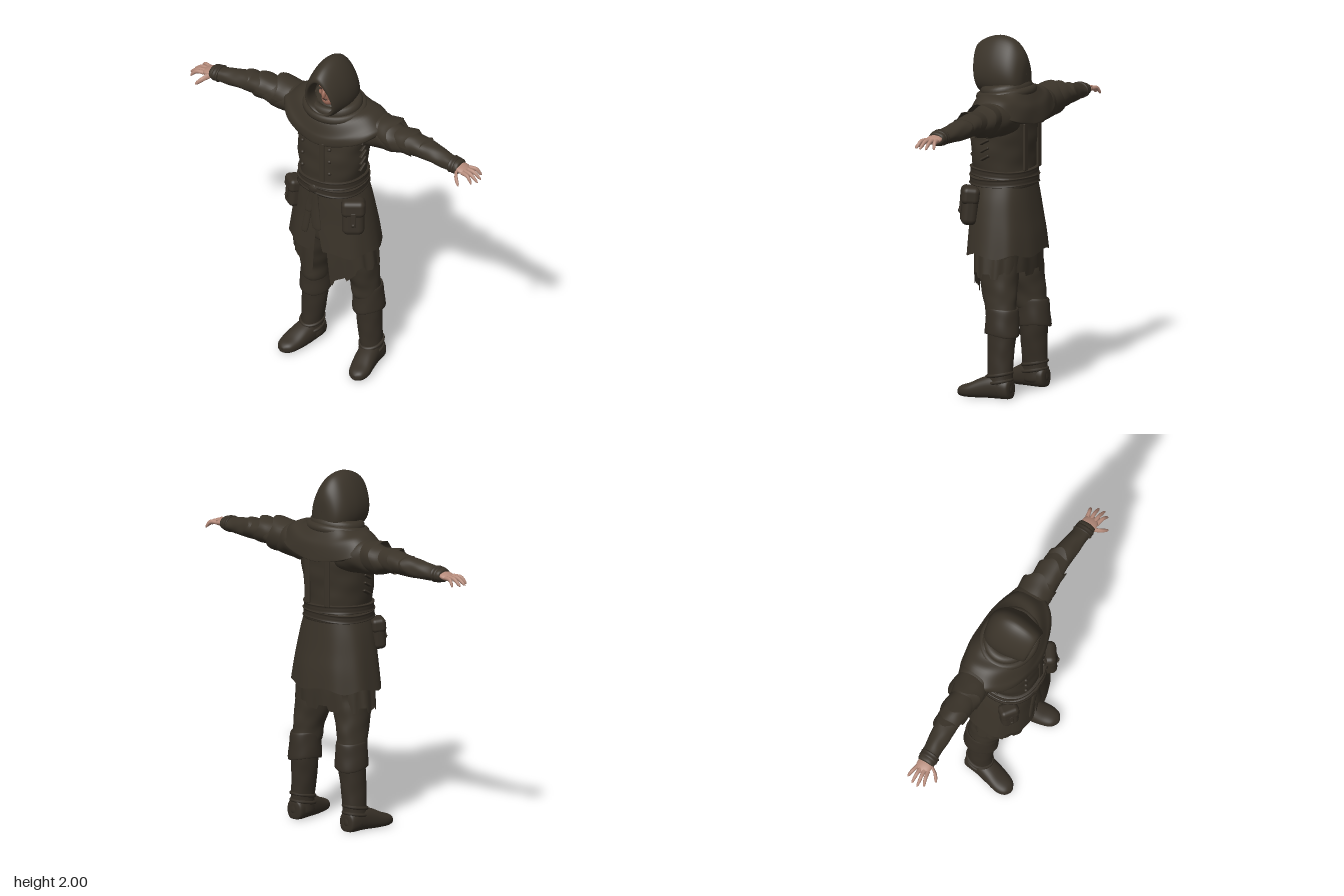
import * as THREE from 'three';
import { RoundedBoxGeometry } from 'three/addons/geometries/RoundedBoxGeometry.js';

const mat = (name, color) => {
  const m = new THREE.MeshStandardMaterial({ color, side: THREE.DoubleSide });
  m.name = name;
  return m;
};

// Smooth interpolation of rows of numbers, t in 0..1
function sample(rows, t) {
  const f = t * (rows.length - 1), i = Math.min(Math.floor(f), rows.length - 2), k = f - i;
  const at = (j) => rows[Math.max(0, Math.min(rows.length - 1, j))];
  return rows[0].map((_, c) => {
    const [p0, p1, p2, p3] = [at(i - 1)[c], at(i)[c], at(i + 1)[c], at(i + 2)[c]];
    return p1 + 0.5 * k * (p2 - p0 + k * (2 * p0 - 5 * p1 + 4 * p2 - p3 + k * (3 * (p1 - p2) + p3 - p0)));
  });
}

// Surface from a rule (u around, v along); closed joins the two u ends
function grid(fn, nu, nv, closed = true) {
  const pos = [], idx = [], w = closed ? nu : nu + 1;
  for (let j = 0; j <= nv; j++) for (let i = 0; i < w; i++) pos.push(...fn(i / nu, j / nv));
  for (let j = 0; j < nv; j++) for (let i = 0; i < nu; i++) {
    const a = j * w + i, b = j * w + ((i + 1) % w), c = a + w, d = b + w;
    idx.push(a, c, b, b, c, d);
  }
  const g = new THREE.BufferGeometry();
  g.setAttribute('position', new THREE.Float32BufferAttribute(pos, 3));
  g.setIndex(idx);
  g.computeVertexNormals();
  return g;
}

const spow = (s, p) => Math.sign(s) * Math.abs(s) ** p;
const wrinkle = (amt) => (a, t) => 1 + amt * (Math.sin(3 * a + 22 * t) + 0.8 * Math.sin(5 * a - 37 * t + 1) + 0.6 * Math.sin(58 * t + 2 * a));

// Loft of oval rings: [position on axis, centre 1, centre 2, radius 1, radius 2]
function loft(axis, rings, { n = 40, m = 6, p = 1, fold = () => 1, hem = () => 0, gap = null, cap = true } = {}) {
  let rows = rings;
  if (cap) {
    const end = (r) => [r[0], r[1], r[2], 0.001, 0.001];
    rows = [end(rings[0]), ...rings, end(rings[rings.length - 1])];
  }
  return grid((u, v) => {
    const g = gap ? gap(v) : 0, a = g + u * (2 * Math.PI - 2 * g);
    const [t0, c1, c2, r1, r2] = sample(rows, v);
    const t = t0 + hem(a, v), f = fold(a, t0);
    const q1 = c1 + r1 * f * spow(Math.sin(a), p), q2 = c2 + r2 * f * spow(Math.cos(a), p);
    return axis === 'y' ? [q1, t, q2] : axis === 'x' ? [t, q1, q2] : [q1, Math.max(0, q2), t];
  }, n, (rows.length - 1) * m, !gap);
}

export function createModel() {
  const cloth = mat('dark cloth', 0x3a3329), leather = mat('dark leather', 0x362f26);
  const skin = mat('hand skin', 0xb58b7b), faceSkin = mat('face skin', 0xa06d5b), shade = mat('eye dark', 0x2a1c17);
  const model = new THREE.Group();
  const add = (parent, name, geo, m, pos = [0, 0, 0], rot = [0, 0, 0], scale = [1, 1, 1]) => {
    const o = new THREE.Mesh(geo, m);
    o.name = name;
    o.position.set(...pos); o.rotation.set(...rot); o.scale.set(...scale);
    parent.add(o);
    return o;
  };
  const ball = new THREE.SphereGeometry(1, 24, 16);

  // Tunic body
  add(model, 'torso', loft('y', [
    [1.16, 0, 0.015, 0.178, 0.165], [1.25, 0, 0.018, 0.178, 0.168], [1.34, 0, 0.018, 0.195, 0.17],
    [1.45, 0, 0.01, 0.205, 0.174], [1.55, 0, 0, 0.21, 0.168], [1.64, 0, -0.02, 0.19, 0.14], [1.72, 0, -0.01, 0.09, 0.09],
  ], { p: 0.88, n: 64, m: 8, fold: wrinkle(0.008) }), cloth);

  // Split skirt of the tunic
  const slit = (v) => 0.01 + 0.12 * Math.max(0, (v - 0.6) / 0.4);
  add(model, 'skirt', loft('y', [
    [1.22, 0, 0.015, 0.178, 0.165], [1.11, 0, 0.01, 0.212, 0.173], [1.0, 0, 0.004, 0.235, 0.18],
    [0.9, 0, 0, 0.252, 0.19], [0.795, 0, -0.002, 0.268, 0.197],
  ], { p: 0.85, n: 80, cap: false, gap: slit, fold: (a, t) => 1 + 0.012 * (1.2 - t) * 2.5 * Math.sin(9 * a),
    hem: (a, v) => 0.012 * v * Math.sin(6 * a) }), cloth);

  // Ragged under-tunic with two pointed front tails
  add(model, 'underTunic', loft('y', [
    [0.96, 0, -0.005, 0.225, 0.15], [0.82, 0, -0.008, 0.248, 0.158], [0.685, 0, -0.01, 0.262, 0.152],
  ], { p: 0.9, n: 120, cap: false, gap: (v) => 0.1 + 0.1 * v, fold: (a) => 1 + 0.018 * Math.sin(14 * a),
    hem: (a, v) => {
      const d = Math.min(a, 2 * Math.PI - a);
      return -v * (0.115 * Math.max(0, 1 - Math.abs(d - 0.25) / 0.75) + 0.014 * Math.sign(Math.sin(11 * a)));
    } }), cloth);
  add(model, 'hips', loft('y', [[0.8, 0, -0.015, 0.17, 0.12], [0.9, 0, -0.01, 0.2, 0.14], [1.18, 0, 0.01, 0.17, 0.15]]), cloth);

  // Belt straps, knot and hanging ends
  [1.245, 1.2].forEach((y, i) => add(model, 'belt', loft('y', [-0.024, -0.012, 0.012, 0.024].map((d, k) => {
    const r = (k === 0 || k === 3 ? 0.002 : 0.012) + i * 0.003;
    return [y + d, 0, 0.017, 0.178 + r, 0.167 + r];
  }), { p: 0.88, n: 64, m: 3, hem: (a) => 0.006 * Math.sin(2 * a + i * 2) }), leather));
  add(model, 'beltKnot', ball, leather, [-0.015, 1.205, 0.19], [0, 0, 0.4], [0.035, 0.028, 0.018]);
  [[-0.075, 0.91, 0.02], [0.005, 0.95, 0.028], [-0.05, 1.05, 0.022]].forEach(([x, y, w]) => add(model, 'sashEnd', loft('y', [
    [1.21, -0.012, 0.192, w * 0.7, 0.01], [(1.21 + y) / 2, x * 0.5 - 0.01, 0.19, w, 0.009], [y, x, 0.194, w, 0.007],
  ], { n: 16 }), cloth));

  // Pouches, the left one larger
  [[1, 0.205, 1.06, 1], [-1, -0.195, 1.085, 0.82]].forEach(([s, x, y, k]) => {
    const g = new THREE.Group();
    g.name = 'pouch';
    g.position.set(x, y, 0.125);
    g.rotation.set(-0.12, s * 0.6, s * 0.06);
    g.scale.setScalar(k);
    add(g, 'pouchBody', new RoundedBoxGeometry(0.125, 0.2, 0.09, 4, 0.035), leather);
    add(g, 'pouchFlap', new RoundedBoxGeometry(0.135, 0.1, 0.1, 4, 0.03), leather, [0, 0.065, 0.004]);
    add(g, 'pouchTongue', new RoundedBoxGeometry(0.03, 0.09, 0.012, 2, 0.005), leather, [0, 0.005, 0.05]);
    add(g, 'pouchStud', ball, leather, [0, -0.025, 0.055], [0, 0, 0], [0.01, 0.01, 0.008]);
    model.add(g);
  });

  // Chest seam, studs and back panels
  add(model, 'chestSeam', new RoundedBoxGeometry(0.035, 0.27, 0.014, 2, 0.006), cloth, [0.035, 1.39, 0.185]);
  for (const x of [-0.1, 0.08]) for (const y of [1.33, 1.41, 1.49])
    add(model, 'stud', ball, leather, [x, y, 0.177], [0, 0, 0], [0.011, 0.011, 0.011]);
  for (const x of [-0.075, 0.075]) add(model, 'backPanel', new RoundedBoxGeometry(0.04, 0.27, 0.014, 2, 0.006), cloth, [x, 1.4, -0.157]);

  // Shoulder mantle rows: half width, front z, back z, then side, front and back heights
  const mantle = [
    [0.09, 0.1, -0.07, 1.74, 1.7, 1.75], [0.15, 0.14, -0.13, 1.715, 1.665, 1.715], [0.23, 0.17, -0.175, 1.69, 1.61, 1.65],
    [0.3, 0.186, -0.195, 1.655, 1.56, 1.58], [0.335, 0.19, -0.2, 1.615, 1.515, 1.53], [0.31, 0.17, -0.18, 1.6, 1.515, 1.53],
  ];
  add(model, 'mantle', grid((u, v) => {
    const a = u * 2 * Math.PI, s = Math.sin(a), c = Math.cos(a);
    const [rx, zf, zb, ys, yf, yb] = sample(mantle, v), f = 1 + 0.012 * v * Math.sin(8 * a + 9 * v);
    const y = (c > 0 ? yf : yb) * (1 - s * s) + ys * s * s;
    return [rx * f * s, y + 0.006 * Math.sin(18 * v + 2 * c), -0.03 * s * s + (c > 0 ? zf : -zb) * f * spow(c, 0.85)];
  }, 80, 30), cloth);
  [[0.13, 1.705, 0.034], [0.165, 1.68, 0.026]].forEach(([r, y, t]) =>
    add(model, 'neckFold', new THREE.TorusGeometry(r, t, 12, 48), cloth, [0, y, 0.005], [Math.PI / 2 + 0.16, 0, 0], [1, 0.86, 1]));

  // Hood rows from inner rim to back: z, half width, top, bottom
  const hood = [
    [0.09, 0.082, 1.885, 1.7], [0.15, 0.084, 1.9, 1.69], [0.168, 0.094, 1.915, 1.68], [0.155, 0.108, 1.945, 1.67],
    [0.1, 0.124, 1.982, 1.66], [0.03, 0.135, 2.0, 1.65], [-0.045, 0.13, 1.98, 1.65], [-0.095, 0.105, 1.93, 1.66],
    [-0.118, 0.06, 1.87, 1.7], [-0.122, 0.002, 1.8, 1.79],
  ];
  add(model, 'hood', grid((u, v) => {
    const b = u * 2 * Math.PI, h = (1 - Math.cos(b)) / 2, [z, w, top, low] = sample(hood, v);
    const y = top + (low - top) * h;
    return [w * Math.sin(b) * (0.65 + 0.5 * h), y, z + Math.max(0, z) * (y - 1.8)];
  }, 48, 54), cloth);

  // Face
  const head = new THREE.Group();
  head.name = 'head';
  model.add(head);
  add(head, 'face', ball, faceSkin, [0, 1.8, 0.03], [0, 0, 0], [0.06, 0.105, 0.08]);
  add(head, 'jaw', ball, faceSkin, [0, 1.745, 0.058], [0, 0, 0], [0.042, 0.038, 0.048]);
  add(head, 'neck', new THREE.CylinderGeometry(0.05, 0.06, 0.12, 20), cloth, [0, 1.69, 0]);
  add(head, 'nose', ball, faceSkin, [0, 1.798, 0.112], [-0.25, 0, 0], [0.011, 0.026, 0.016]);
  add(head, 'mouth', ball, shade, [0, 1.757, 0.104], [0, 0, 0], [0.019, 0.003, 0.004]);
  for (const s of [-1, 1]) {
    add(head, 'brow', ball, faceSkin, [s * 0.024, 1.832, 0.098], [0, 0, s * 0.15], [0.021, 0.007, 0.008]);
    add(head, 'eye', ball, shade, [s * 0.023, 1.818, 0.099], [0, 0, 0], [0.011, 0.005, 0.004]);
    add(head, 'cheek', ball, faceSkin, [s * 0.032, 1.788, 0.082], [0, 0, 0], [0.02, 0.018, 0.018]);
  }

  // Arms and legs, mirrored
  for (const s of [1, -1]) {
    const side = new THREE.Group();
    side.name = s > 0 ? 'leftLimbs' : 'rightLimbs';
    side.scale.x = s;
    model.add(side);

    add(side, 'sleeve', loft('x', [
      [0.12, 1.57, -0.03, 0.1, 0.12], [0.25, 1.575, -0.045, 0.1, 0.108], [0.38, 1.568, -0.038, 0.078, 0.088],
      [0.48, 1.578, -0.035, 0.062, 0.075], [0.56, 1.575, -0.038, 0.058, 0.068], [0.66, 1.568, -0.03, 0.052, 0.058],
      [0.76, 1.561, -0.02, 0.042, 0.05], [0.83, 1.56, -0.015, 0.036, 0.048],
    ], { m: 8, fold: wrinkle(0.022) }), cloth);
    // Overlapping flared layers at upper arm and elbow
    [[0.27, 1.58, -0.045, 0.09, 0.098, 0.12], [0.4, 1.578, -0.037, 0.07, 0.08, 0.11], [0.54, 1.572, -0.04, 0.054, 0.066, 0.06]].forEach(
      ([x, y, z, ry, rz, l]) => add(side, 'sleeveLayer', loft('x', [
        [x - 0.02, y, z, ry * 0.9, rz * 0.9], [x + l * 0.5, y + 0.004, z, ry, rz], [x + l, y + 0.006, z, ry * 1.08, rz * 1.04],
      ], { cap: false, gap: () => 0, fold: wrinkle(0.012), hem: (a, v) => 0.022 * v * Math.sin(a * 3 + 3) }), cloth));
    add(side, 'wristBand', loft('x', [[0.775, 1.561, -0.017, 0.043, 0.053], [0.79, 1.561, -0.016, 0.044, 0.054], [0.81, 1.56, -0.015, 0.04, 0.051]]), leather);

    // Hand with spread fingers
    add(side, 'palm', ball, skin, [0.845, 1.56, -0.012], [0, 0, -0.25], [0.052, 0.02, 0.046]);
    const finger = (name, pts, r) => {
      const c = new THREE.CatmullRomCurve3(pts.map((q) => new THREE.Vector3(...q)));
      add(side, name, grid((u, v) => {
        const q = c.getPoint(v), a = u * 2 * Math.PI, k = r * (1 - 0.3 * v) * Math.sqrt(Math.max(0, 1 - v ** 8));
        return [q.x + 0.5 * k * Math.cos(a), q.y + k * Math.cos(a), q.z + k * Math.sin(a)];
      }, 12, 14), skin);
    };
    [[0.024, 0.046, 0.945], [0.003, 0.014, 0.966], [-0.02, -0.022, 0.963], [-0.042, -0.062, 0.94]].forEach(([z0, z1, x]) =>
      finger('finger', [[0.865, 1.558, z0], [0.91, 1.555, (z0 + z1) / 2], [x, 1.52, z1]], 0.0125));
    finger('thumb', [[0.825, 1.555, 0.02], [0.85, 1.54, 0.06], [0.885, 1.508, 0.088]], 0.0145);

    // Side laces
    for (let i = 0; i < 5; i++) add(side, 'sideLace', new RoundedBoxGeometry(0.03, 0.012, 0.06, 2, 0.005), leather,
      [0.196 + 0.003 * i, 1.34 + 0.045 * i, 0.03], [0.5, 0, 0.3]);

    // Trousers and boot
    add(side, 'trouserLeg', loft('y', [
      [0.44, 0.17, -0.055, 0.07, 0.08], [0.53, 0.166, -0.05, 0.08, 0.093], [0.62, 0.152, -0.035, 0.092, 0.106],
      [0.75, 0.137, -0.02, 0.103, 0.12], [0.95, 0.115, -0.01, 0.11, 0.13],
    ], { m: 8, fold: wrinkle(0.015) }), cloth);
    add(side, 'bootShaft', loft('y', [
      [0.03, 0.2, -0.064, 0.06, 0.073], [0.12, 0.198, -0.064, 0.06, 0.073], [0.25, 0.186, -0.064, 0.068, 0.076],
      [0.36, 0.178, -0.066, 0.072, 0.082], [0.48, 0.174, -0.064, 0.074, 0.086],
    ], { m: 8, fold: wrinkle(0.01) }), leather);
    add(side, 'bootCuff', loft('y', [
      [0.48, 0.173, -0.065, 0.06, 0.07], [0.5, 0.173, -0.065, 0.078, 0.09], [0.43, 0.176, -0.067, 0.085, 0.096], [0.355, 0.178, -0.068, 0.089, 0.1], [0.36, 0.178, -0.068, 0.074, 0.084],
    ], { cap: false, fold: wrinkle(0.008), hem: (a, v) => -0.012 * v * Math.cos(2 * a + 1) }), leather);
    [0.13, 0.09].forEach((y) => add(side, 'ankleStrap', new THREE.TorusGeometry(0.06, 0.01, 8, 32), leather, [0.199, y, -0.062], [Math.PI / 2 + 0.2, 0, 0], [1, 1.18, 1]));
    add(side, 'foot', loft('z', [
      [-0.138, 0.2, 0.05, 0.035, 0.045], [-0.12, 0.2, 0.052, 0.056, 0.06], [-0.04, 0.206, 0.06, 0.062, 0.068], [0.03, 0.218, 0.05, 0.064, 0.06],
      [0.1, 0.233, 0.034, 0.062, 0.042], [0.15, 0.239, 0.028, 0.046, 0.03], [0.172, 0.241, 0.024, 0.015, 0.015],
    ], { p: 0.85 }), leather);
  }
  return model;
}
